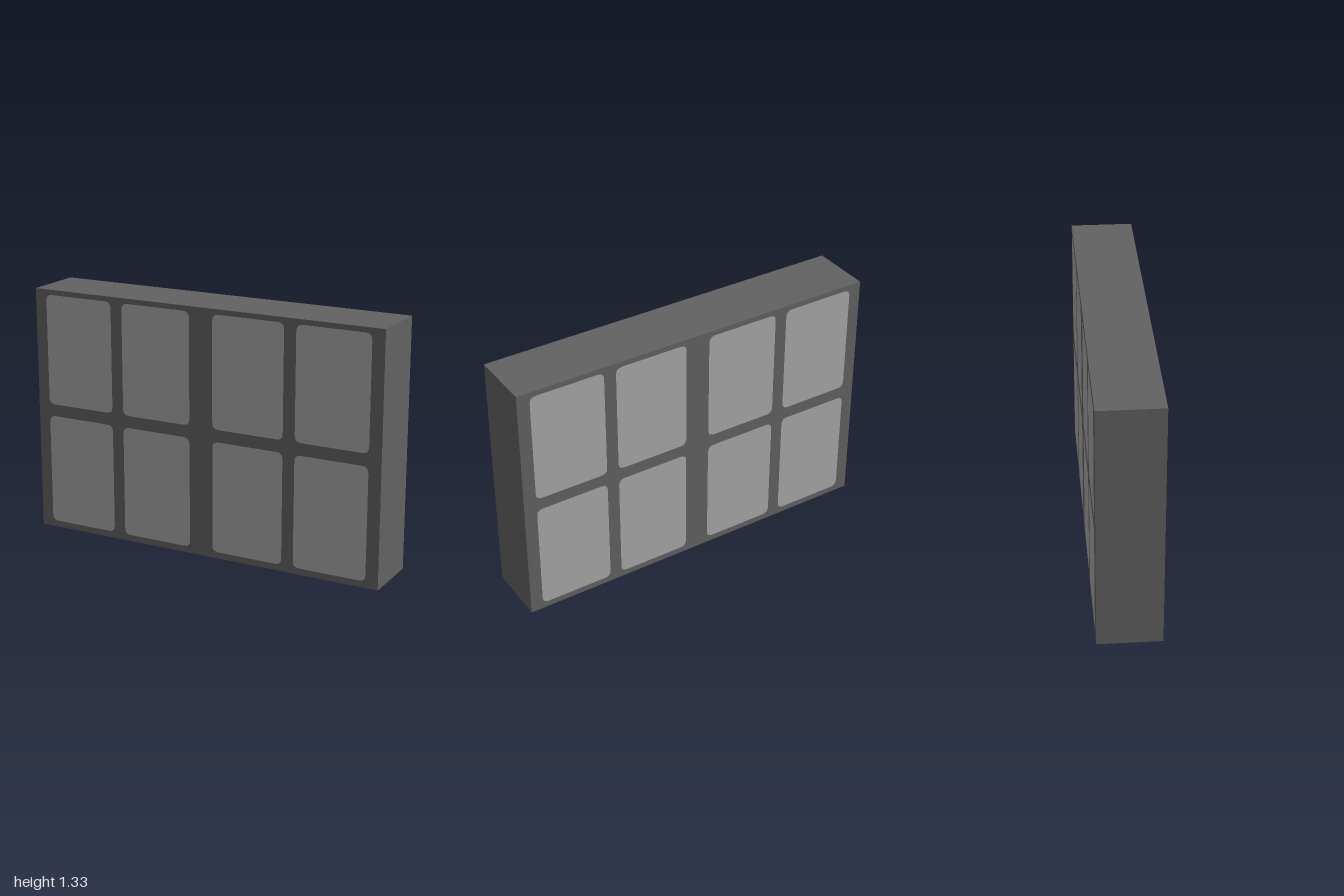
import * as THREE from 'three';

const W = 2, H = 1.33, D = 0.33, LIFT = 0.002;

// Rounded rectangle outline centred on the origin
function roundedRect(w, h, r) {
  const x = w / 2, y = h / 2, s = new THREE.Shape();
  s.moveTo(-x + r, -y);
  s.lineTo(x - r, -y).quadraticCurveTo(x, -y, x, -y + r);
  s.lineTo(x, y - r).quadraticCurveTo(x, y, x - r, y);
  s.lineTo(-x + r, y).quadraticCurveTo(-x, y, -x, y - r);
  s.lineTo(-x, -y + r).quadraticCurveTo(-x, -y, -x + r, -y);
  return s;
}

// Two long bars joined in the middle, with a keyhole notch at each end
function bracketShape() {
  const s = new THREE.Shape();
  s.moveTo(-0.43, -0.125);
  s.lineTo(0.43, -0.125).quadraticCurveTo(0.47, -0.125, 0.47, -0.1);
  s.quadraticCurveTo(0.47, -0.075, 0.43, -0.075);
  s.lineTo(0.27, -0.075).quadraticCurveTo(0.22, -0.07, 0.2, -0.03);
  s.lineTo(0.11, -0.03).quadraticCurveTo(0.08, -0.03, 0.08, 0);
  s.quadraticCurveTo(0.08, 0.03, 0.11, 0.03);
  s.lineTo(0.2, 0.03).quadraticCurveTo(0.22, 0.07, 0.27, 0.075);
  s.lineTo(0.43, 0.075).quadraticCurveTo(0.47, 0.075, 0.47, 0.1);
  s.quadraticCurveTo(0.47, 0.125, 0.43, 0.125);
  s.lineTo(-0.43, 0.125).quadraticCurveTo(-0.47, 0.125, -0.47, 0.1);
  s.quadraticCurveTo(-0.47, 0.075, -0.43, 0.075);
  s.lineTo(-0.27, 0.075).quadraticCurveTo(-0.22, 0.07, -0.2, 0.03);
  s.lineTo(-0.11, 0.03).quadraticCurveTo(-0.08, 0.03, -0.08, 0);
  s.quadraticCurveTo(-0.08, -0.03, -0.11, -0.03);
  s.lineTo(-0.2, -0.03).quadraticCurveTo(-0.22, -0.07, -0.27, -0.075);
  s.lineTo(-0.43, -0.075).quadraticCurveTo(-0.47, -0.075, -0.47, -0.1);
  s.quadraticCurveTo(-0.47, -0.125, -0.43, -0.125);
  return s;
}

export function createModel() {
  const group = new THREE.Group();
  const frameMat = new THREE.MeshStandardMaterial({ color: 0x626262 });
  frameMat.name = 'dark grey';
  const paneMat = new THREE.MeshStandardMaterial({ color: 0xa8a8a8 });
  paneMat.name = 'light grey';

  const add = (name, geometry, material, x, y, z) => {
    const mesh = new THREE.Mesh(geometry, material);
    mesh.name = name;
    mesh.position.set(x, y, z);
    group.add(mesh);
    return mesh;
  };

  // Solid slab
  add('frame', new THREE.BoxGeometry(W, H - LIFT, D), frameMat, 0, (H + LIFT) / 2, 0);

  // Eight panes on the front and eight on the back
  const pane = new THREE.ShapeGeometry(roundedRect(0.4, 0.6, 0.035), 4);
  for (const side of [1, -1]) {
    for (const x of [-0.733, -0.267, 0.267, 0.733]) {
      for (const y of [0.337, 1.003]) {
        const mesh = add(side > 0 ? 'frontPane' : 'backPane', pane, paneMat, x, y, side * (D / 2 + LIFT));
        if (side < 0) mesh.rotation.y = Math.PI;
      }
    }
  }

  // Underside markings
  const bracket = new THREE.ShapeGeometry(bracketShape(), 6).rotateX(Math.PI / 2);
  add('undersideBracket', bracket, paneMat, 0, 0, 0);
  const slot = new THREE.ShapeGeometry(roundedRect(0.036, 0.18, 0.004), 2).rotateX(Math.PI / 2);
  for (const x of [-0.95, 0.95]) add('undersideSlot', slot, paneMat, x, 0, 0);

  return group;
}
